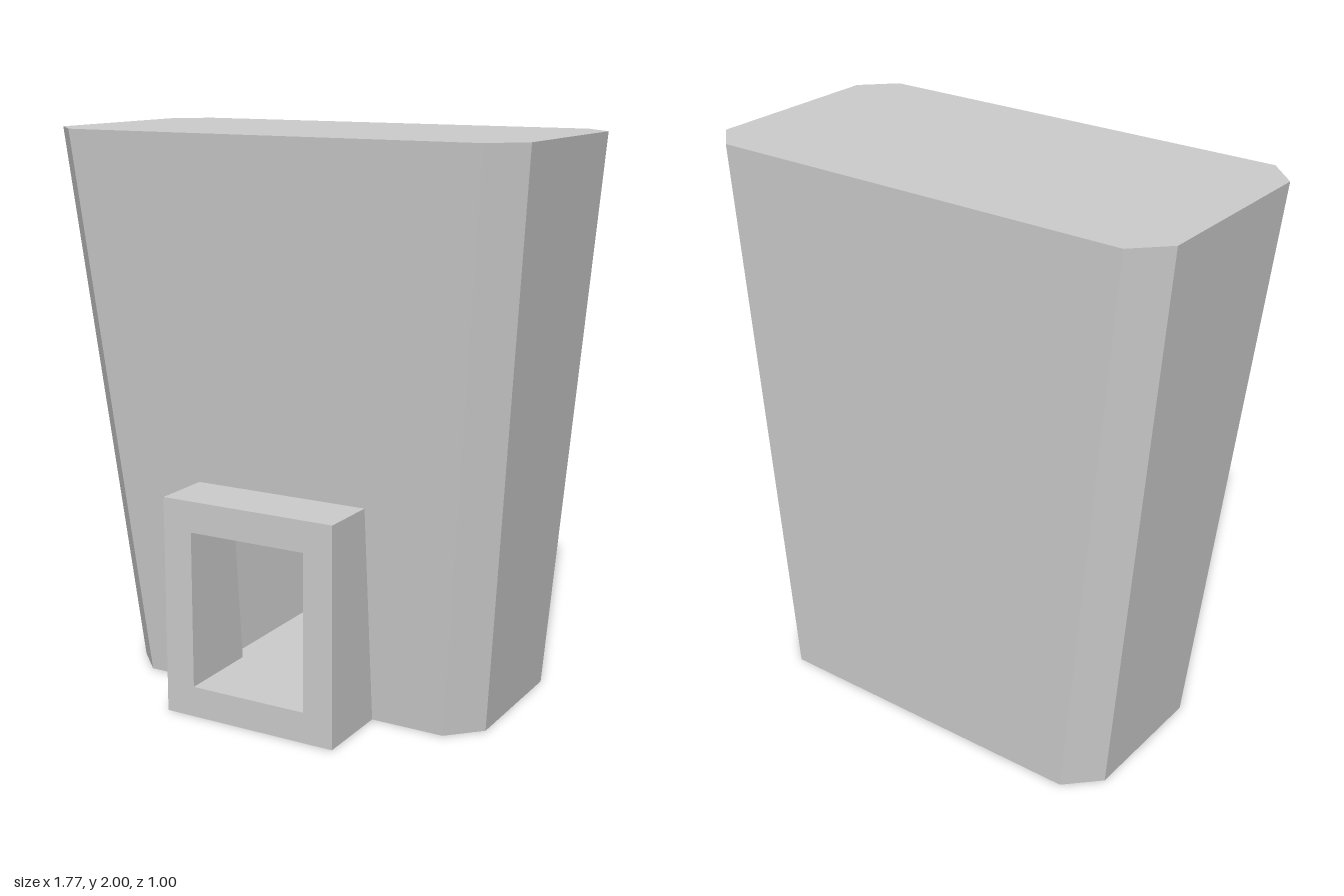
import * as THREE from 'three';

const H = 2, WALL = 0.04, FLOOR = 0.11, CEIL = 1.89;
const frontZ = y => 0.215 + 0.085 * y; // sloping front plane
const material = () => new THREE.MeshStandardMaterial({ color: 0xcccccc, flatShading: true });

// Rectangle with chamfered corners, starting along its front edge
function octagon(w, zf, zb, c) {
  return [[-w + c, zf], [w - c, zf], [w, zf - c], [w, zb + c],
    [w - c, zb], [-w + c, zb], [-w, zb + c], [-w, zf - c]];
}

// Join two rings of [x, z] points with walls and caps; the front wall is left open
function openFrontLoft(lower, upper, y0, y1, inward = false) {
  const pos = [];
  const n = lower.length;
  const lo = lower.map(([x, z]) => [x, y0, z]);
  const up = upper.map(([x, z]) => [x, y1, z]);
  const tri = (a, b, c) => pos.push(...a, ...(inward ? c : b), ...(inward ? b : c));
  for (let i = 1; i < n; i++) {
    const j = (i + 1) % n;
    tri(lo[i], lo[j], up[j]);
    tri(lo[i], up[j], up[i]);
  }
  for (let i = 1; i < n - 1; i++) {
    tri(up[0], up[i], up[i + 1]);
    tri(lo[0], lo[i + 1], lo[i]);
  }
  const geo = new THREE.BufferGeometry();
  geo.setAttribute('position', new THREE.Float32BufferAttribute(pos, 3));
  geo.computeVertexNormals();
  return geo;
}

function polygon(points) {
  return points.map(([x, y]) => new THREE.Vector2(x, y));
}

const opening = () => new THREE.Path(polygon([[-0.22, FLOOR], [-0.22, 0.67], [0.22, 0.67], [0.22, FLOOR]]));

// Move the vertices of a geometry along z by a rule
function setZ(geo, rule) {
  const p = geo.attributes.position;
  for (let i = 0; i < p.count; i++) p.setZ(i, rule(p.getY(i), p.getZ(i)));
  geo.computeVertexNormals();
  return geo;
}

export function createModel() {
  const group = new THREE.Group();
  const add = (name, geo, mat = material()) => {
    const mesh = new THREE.Mesh(geo, mat);
    mesh.name = name;
    group.add(mesh);
    return mesh;
  };

  // Tapered body with chamfered corners
  add('body', openFrontLoft(
    octagon(0.71, frontZ(0), -0.5, 0.11),
    octagon(0.885, frontZ(H), -0.5, 0.11), 0, H));

  // Sloping front panel, cut out for the opening
  const panel = new THREE.Shape(polygon([[-0.6, 0], [0.6, 0], [0.775, H], [-0.775, H]]));
  panel.holes.push(opening());
  const panelMat = material();
  panelMat.side = THREE.DoubleSide;
  add('frontPanel', setZ(new THREE.ShapeGeometry(panel), y => frontZ(y)), panelMat);

  // Projecting frame whose back follows the slope of the panel
  const frame = new THREE.Shape(polygon([[-0.33, 0], [0.33, 0], [0.33, 0.78], [-0.33, 0.78]]));
  frame.holes.push(opening());
  const frameGeo = new THREE.ExtrudeGeometry(frame, { depth: 1, bevelEnabled: false });
  add('openingFrame', setZ(frameGeo, (y, z) => (z > 0.5 ? 0.5 : frontZ(y) - WALL)));

  // Hollow interior behind the opening
  const ring = (w, y) => octagon(w, frontZ(y) - WALL, -0.39, 0).filter((_, i) => i % 2 === 0 || i === 1 || i === 5);
  const rect = (w, y) => {
    const zf = frontZ(y) - WALL;
    return [[-w, zf], [w, zf], [w, -0.39], [-w, -0.39]];
  };
  add('innerCavity', openFrontLoft(rect(0.265, FLOOR), rect(0.42, CEIL), FLOOR, CEIL, true));

  return group;
}
